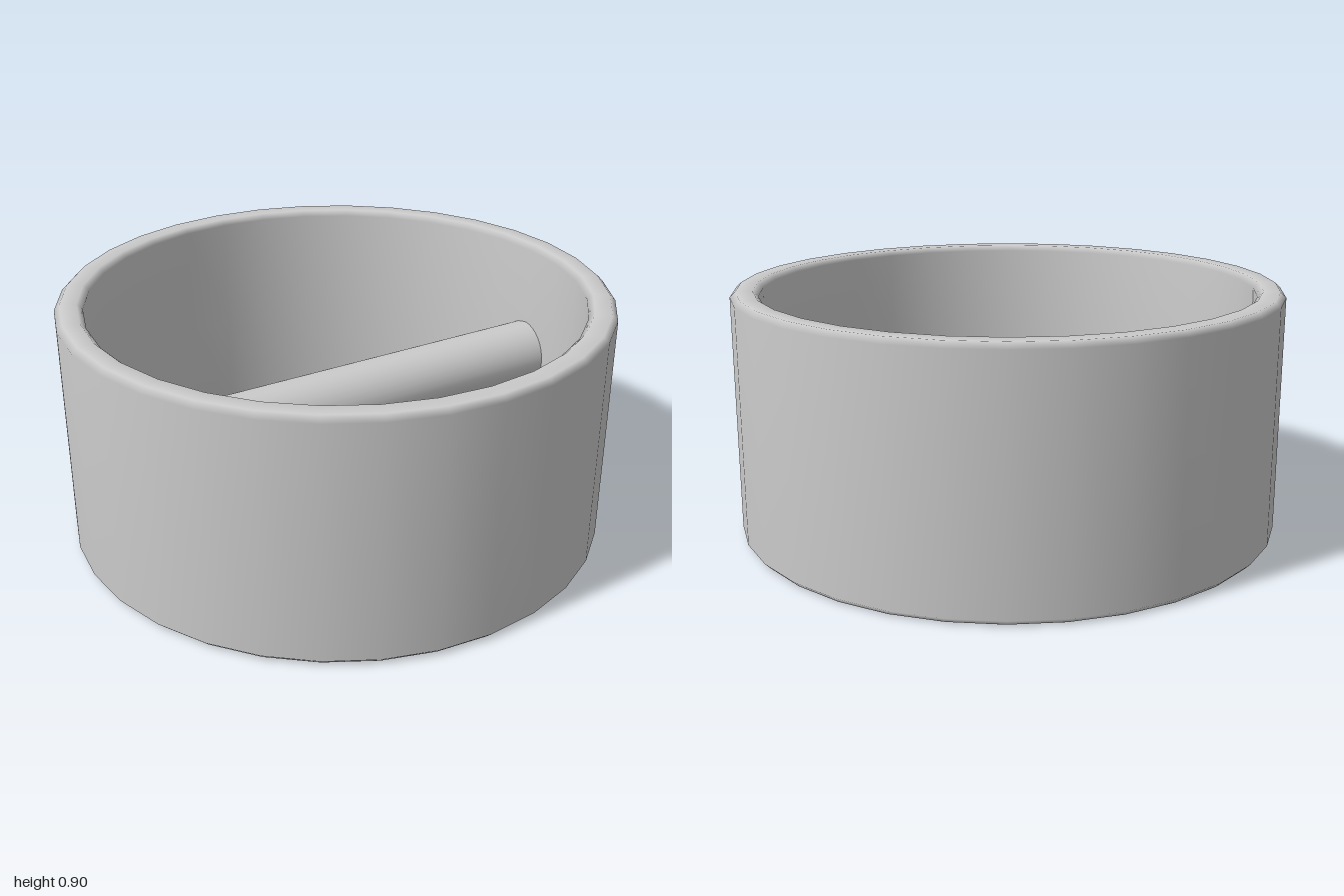
import * as THREE from 'three';

export function createModel() {
  const group = new THREE.Group();
  const material = new THREE.MeshStandardMaterial({ color: 0xcccccc });
  const height = 0.9, outer = 1, inner = 0.9, bevel = 0.02;

  // Open ring wall with softened rims; the profile closes midway up the inside
  const profile = [
    [inner, height / 2],
    [inner, bevel], [inner + bevel, 0],
    [outer - bevel, 0], [outer, bevel],
    [outer, height - bevel], [outer - bevel, height],
    [inner + bevel, height], [inner, height - bevel],
    [inner, height / 2],
  ].map(([r, y]) => new THREE.Vector2(r, y));
  const ring = new THREE.Mesh(new THREE.LatheGeometry(profile, 32), material);
  ring.name = 'ring';
  group.add(ring);

  // Round crossbar, its ends buried in the wall
  const crossbar = new THREE.Mesh(new THREE.CylinderGeometry(0.125, 0.125, 1.9, 32), material);
  crossbar.name = 'crossbar';
  crossbar.rotation.z = Math.PI / 2;
  crossbar.position.y = height / 2;
  group.add(crossbar);

  return group;
}
